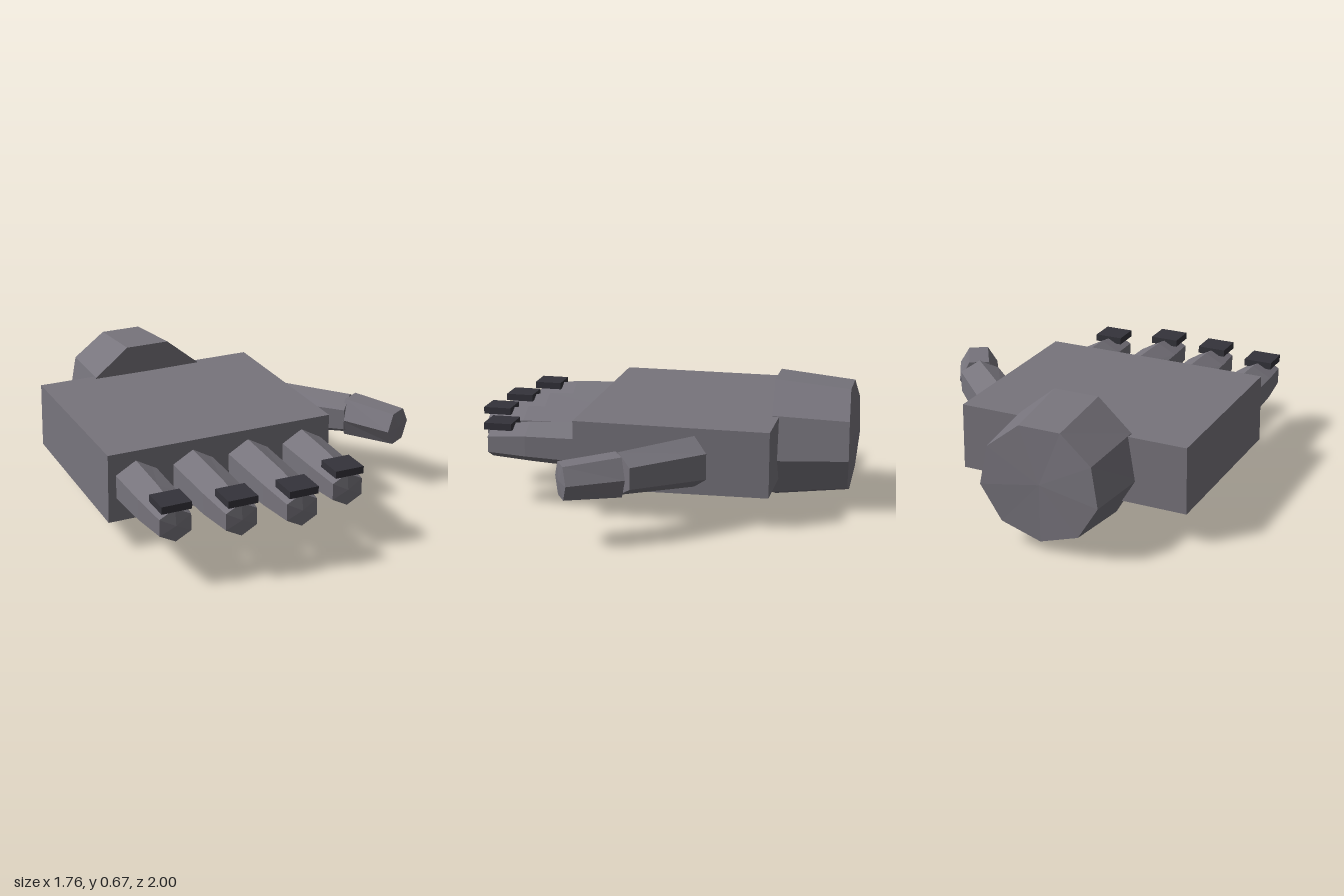
import * as THREE from 'three';

// Faceted solid lofted along +z. Each ring: [z, rx, ry, cx, cy, zWarp]; ends close as fans.
function loft(sides, phase, rings, bulgeStart = 0, bulgeEnd = 0) {
  const pos = [];
  const tri = (...pts) => pts.forEach((p) => pos.push(...p));
  const loops = rings.map(([z, rx, ry, cx = 0, cy = 0, warp = 0]) =>
    Array.from({ length: sides }, (_, i) => {
      const a = phase + (i / sides) * Math.PI * 2;
      return [cx + rx * Math.cos(a), cy + ry * Math.sin(a), z + warp * Math.sin(a) ** 2];
    }));
  const last = rings.length - 1;
  const centre = ([z, , , cx = 0, cy = 0], push) => [cx, cy, z + push];
  const start = centre(rings[0], -bulgeStart);
  const end = centre(rings[last], bulgeEnd);
  for (let i = 0; i < sides; i++) {
    const j = (i + 1) % sides;
    for (let k = 0; k < last; k++) {
      const a = loops[k], b = loops[k + 1];
      tri(a[i], a[j], b[j]);
      tri(a[i], b[j], b[i]);
    }
    tri(start, loops[0][j], loops[0][i]);
    tri(end, loops[last][i], loops[last][j]);
  }
  const geo = new THREE.BufferGeometry();
  geo.setAttribute('position', new THREE.Float32BufferAttribute(pos, 3));
  geo.computeVertexNormals();
  return geo;
}

export function createModel() {
  const hand = new THREE.Group();
  hand.name = 'hand';
  const skin = new THREE.MeshStandardMaterial({ name: 'grey skin', color: 0x77747c, flatShading: true });
  const dark = new THREE.MeshStandardMaterial({ name: 'dark nail', color: 0x34333a, flatShading: true });

  const add = (name, geo, mat, x = 0, y = 0, z = 0, parent = hand) => {
    const mesh = new THREE.Mesh(geo, mat);
    mesh.name = name;
    mesh.position.set(x, y, z);
    parent.add(mesh);
    return mesh;
  };

  // Palm: a slab whose underside rises slightly toward the wrist
  const palm = new THREE.BoxGeometry(1.215, 0.358, 1.02);
  const p = palm.attributes.position;
  for (let i = 0; i < p.count; i++) {
    if (p.getY(i) < 0 && p.getZ(i) < 0) p.setY(i, p.getY(i) + 0.015);
    if (p.getY(i) > 0 && p.getX(i) < 0) p.setX(i, p.getX(i) + 0.008);
  }
  palm.computeVertexNormals();
  add('palm', palm, skin, -0.27, 0.339, -0.122);

  // Wrist: nine-sided stump, narrowing backwards
  add('wrist', loft(9, -Math.PI / 2, [
    [-1.0, 0.315, 0.3, -0.275, 0.355, 0.022],
    [-0.6, 0.345, 0.345, -0.27, 0.35, 0.02],
  ], -0.012), skin);

  // Fingers: six-sided, tapering forward, each with a flat nail on top
  const fingers = [
    ['little', -0.725, 0.895],
    ['ring', -0.423, 0.97],
    ['middle', -0.122, 1.0],
    ['index', 0.18, 0.895],
  ];
  for (const [name, x, tip] of fingers) {
    const finger = new THREE.Group();
    finger.name = name + 'Finger';
    finger.position.x = x;
    hand.add(finger);
    add(name + 'FingerBody', loft(6, Math.PI / 6, [
      [0.3, 0.125, 0.125, 0, 0.345],
      [tip - 0.23, 0.118, 0.108, 0, 0.347],
      [tip - 0.02, 0.092, 0.085, 0, 0.34],
    ], 0, 0.01), skin, 0, 0, 0, finger);
    add(name + 'Nail', new THREE.BoxGeometry(0.152, 0.037, 0.15), dark, 0, 0.437, tip - 0.075, finger);
  }

  // Thumb: two six-sided segments, bending forward
  const thumb = new THREE.Group();
  thumb.name = 'thumb';
  hand.add(thumb);
  add('thumbBase', loft(6, Math.PI / 6, [
    [-0.02, 0.128, 0.134],
    [0.42, 0.122, 0.11, 0, 0.008],
  ]), skin, 0.35, 0.345, -0.235, thumb).rotation.y = 0.77;
  add('thumbTip', loft(6, 0, [
    [0, 0.108, 0.118, 0, 0.005],
    [0.295, 0.104, 0.098],
  ], 0, 0.008), skin, 0.645, 0.345, 0.065, thumb).rotation.y = 0.53;

  return hand;
}
